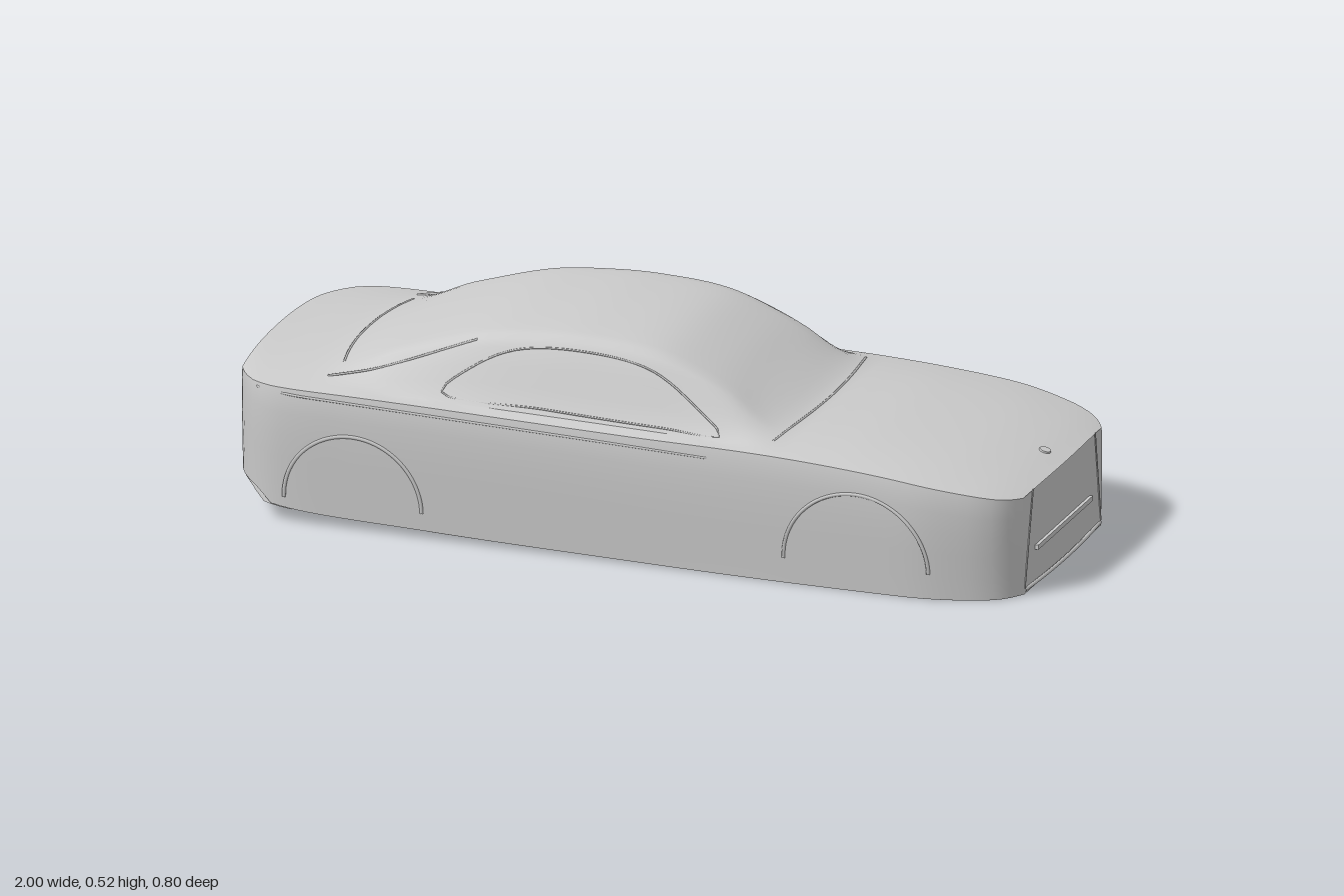
import * as THREE from 'three';
import { toCreasedNormals } from 'three/addons/utils/BufferGeometryUtils.js';

const mat = new THREE.MeshStandardMaterial({ color: 0xcccccc, side: THREE.DoubleSide });

// smooth interpolation through [x, value] pairs
function curve(pts) {
  const slope = (i) => {
    const a = pts[Math.max(i - 1, 0)], b = pts[Math.min(i + 1, pts.length - 1)];
    return (b[1] - a[1]) / (b[0] - a[0]);
  };
  return (x) => {
    let i = 0;
    while (i < pts.length - 2 && x > pts[i + 1][0]) i++;
    const [x0, y0] = pts[i], [x1, y1] = pts[i + 1], d = x1 - x0;
    const t = THREE.MathUtils.clamp((x - x0) / d, 0, 1), t2 = t * t, t3 = t2 * t;
    return (2 * t3 - 3 * t2 + 1) * y0 + (t3 - 2 * t2 + t) * d * slope(i)
      + (3 * t2 - 2 * t3) * y1 + (t3 - t2) * d * slope(i + 1);
  };
}

// lengthwise profiles: centre line, shoulder, underside, half width
const centreY = curve([[-1, 0.362], [-0.9, 0.368], [-0.76, 0.385], [-0.6, 0.44], [-0.4, 0.502], [-0.25, 0.521],
  [-0.12, 0.525], [0.05, 0.51], [0.18, 0.462], [0.3, 0.397], [0.39, 0.354], [0.45, 0.348], [0.6, 0.338],
  [0.8, 0.31], [0.92, 0.283], [1, 0.258]]);
const shoulderY = curve([[-1, 0.347], [-0.6, 0.343], [0, 0.328], [0.4, 0.322], [0.7, 0.302], [0.9, 0.272], [1, 0.25]]);
const baseY = curve([[-1, 0.09], [-0.94, 0.08], [-0.9, 0.047], [-0.5, 0.026], [0, 0.012], [0.4, 0.006], [1, 0.006]]);
const halfW = curve([[-1, 0.28], [-0.985, 0.315], [-0.95, 0.362], [-0.88, 0.39], [-0.7, 0.395], [0, 0.392], [0.7, 0.395],
  [0.8, 0.39], [0.9, 0.366], [0.95, 0.342], [0.98, 0.313], [1, 0.275]]);

// [share of half width, share of the rise from shoulder to centre line]
const cabin = [[0.985, 0], [0.95, 0.02], [0.9, 0.05], [0.87, 0.13], [0.82, 0.34], [0.77, 0.56], [0.715, 0.79],
  [0.68, 0.89], [0.64, 0.935], [0.57, 0.955], [0.43, 0.975], [0.22, 0.993], [0, 1]];
const flank = [[0.965, 0], [0.975, 0.2], [0.988, 0.42], [0.998, 0.62], [1, 0.8], [0.996, 0.93]];

function rise(x, s, f) {
  const h = centreY(x) - shoulderY(x);
  const k = THREE.MathUtils.smoothstep(h, 0.03, 0.1);
  return shoulderY(x) + h * THREE.MathUtils.lerp(1 - Math.pow(s / 0.985, 2.6), f, k);
}
// height of the upper skin at any x, z
function topY(x, z) {
  const s = Math.min(Math.abs(z) / halfW(x), 0.984);
  const i = cabin.findIndex((p) => p[0] <= s);
  const [a, b] = [cabin[i - 1], cabin[i]];
  return rise(x, s, a[1] + (b[1] - a[1]) * (s - a[0]) / (b[0] - a[0]));
}
// half width of the flank at any x, y
function sideZ(x, y) {
  const t = THREE.MathUtils.clamp((y - baseY(x)) / (shoulderY(x) - baseY(x)), 0, 0.92);
  const i = Math.max(1, flank.findIndex((p) => p[1] > t));
  const [a, b] = [flank[i - 1], flank[i]];
  return halfW(x) * (a[0] + (b[0] - a[0]) * (t - a[1]) / (b[1] - a[1]));
}
// bow both ends in plan
const bow = (x, z) => x * (1 - 0.15 * z * z);

function section(x) {
  const w = halfW(x), y0 = baseY(x), y1 = shoulderY(x);
  const half = [...flank.map(([s, t]) => [w * s, y0 + (y1 - y0) * t]),
    ...cabin.map(([s, f]) => [w * s, rise(x, s, f)])];
  return [...half, ...half.slice(0, -1).reverse().map(([z, y]) => [-z, y])];
}

function bodyGeometry() {
  const xs = [-1, -0.993, -0.985, -0.97];
  for (let i = 0; i <= 76; i++) xs.push(-0.95 + i * 0.025);
  xs.push(0.965, 0.98, 0.99, 1);
  const pos = [], idx = [];
  let n = 0;
  for (const x of xs) {
    const ring = section(x);
    n = ring.length;
    for (const [z, y] of ring) pos.push(bow(x, z), y, z);
  }
  for (let j = 0; j < xs.length - 1; j++) {
    for (let i = 0; i < n - 1; i++) {
      const a = j * n + i, b = a + n;
      idx.push(a, b, a + 1, b, b + 1, a + 1);
    }
  }
  // nose and tail faces
  const last = (xs.length - 1) * n;
  for (let i = 0; i < (n - 1) / 2; i++) {
    const p = i, q = n - 1 - i;
    idx.push(last + p, last + q, last + p + 1, last + q, last + q - 1, last + p + 1);
    idx.push(p, p + 1, q, q, p + 1, q - 1);
  }
  const g = new THREE.BufferGeometry();
  g.setAttribute('position', new THREE.Float32BufferAttribute(pos, 3));
  g.setIndex(idx);
  return toCreasedNormals(g, 0.5);
}

const wheels = [{ name: 'front', x: 0.605, r: 0.183 }, { name: 'rear', x: -0.67, r: 0.175 }];
const wellZ = 0.28;

// floor with a notch at each wheel, following the underside
function floorGeometry() {
  const edge = [];
  const add = (x, z = halfW(x) * 0.965) => edge.push([bow(x, z), z]);
  for (let i = 0; i <= 100; i++) {
    const x = -1 + i * 0.02;
    const w = wheels.find((o) => Math.abs(x - o.x) < o.r);
    if (!w) { add(x); continue; }
    if (x - 0.02 <= w.x - w.r) { add(w.x - w.r); add(w.x - w.r, wellZ); }
    if (x + 0.02 >= w.x + w.r) { add(w.x + w.r, wellZ); add(w.x + w.r); }
  }
  const outline = [...edge, ...edge.slice().reverse().map(([x, z]) => [x, -z])];
  const g = new THREE.ShapeGeometry(new THREE.Shape(outline.map(([x, z]) => new THREE.Vector2(x, z))));
  g.rotateX(Math.PI / 2);
  const p = g.attributes.position;
  for (let i = 0; i < p.count; i++) p.setY(i, baseY(p.getX(i)));
  g.computeVertexNormals();
  return g;
}

export function createModel() {
  const model = new THREE.Group();
  const add = (name, geo) => {
    const m = new THREE.Mesh(geo, mat);
    m.name = name;
    model.add(m);
    return m;
  };
  const trim = (name, pts, r = 0.003, closed = false) => add(name, new THREE.TubeGeometry(
    new THREE.CatmullRomCurve3(pts.map((p) => new THREE.Vector3(...p)), closed, 'centripetal'), 64, r, 6, closed));
  const onTop = (x, z) => [bow(x, z), topY(x, z), z];

  add('body', bodyGeometry());
  add('floor', floorGeometry());

  for (const s of [1, -1]) {
    const side = s > 0 ? 'Left' : 'Right';
    for (const w of wheels) {
      // wheel arch lip
      const arc = [];
      for (let i = 0; i <= 24; i++) {
        const a = Math.PI * i / 24;
        const x = w.x + w.r * Math.cos(a), y = 0.07 + w.r * Math.sin(a);
        arc.push([x, y, s * (sideZ(x, y) - 0.001)]);
      }
      trim(w.name + 'Arch' + side, arc, 0.005);
      // inner wall and roof of the wheel well
      const wall = add(w.name + 'Well' + side, new THREE.BoxGeometry(w.r * 2, 0.06, 0.01));
      wall.position.set(bow(w.x, wellZ), baseY(w.x) + 0.03, s * (wellZ - 0.005));
      const roof = add(w.name + 'WellRoof' + side, new THREE.BoxGeometry(w.r * 2, 0.004, 0.1));
      roof.position.set(bow(w.x, wellZ), baseY(w.x) + 0.06, s * (wellZ + 0.045));
    }
    // side window surround
    const win = [[-0.47, 0.338], [-0.2, 0.344], [0.1, 0.345], [0.25, 0.34], [0.18, 0.31], [0.05, 0.284],
      [-0.15, 0.278], [-0.3, 0.284], [-0.4, 0.305]];
    trim('sideWindow' + side, win.map(([x, z]) => onTop(x, s * z)), 0.0025, true);
    // rear pillar seam
    trim('pillarSeam' + side, [[-0.77, 0.31], [-0.65, 0.298], [-0.52, 0.284], [-0.4, 0.268]].map(([x, z]) => onTop(x, s * z)));
    // character line along the flank
    const line = [];
    for (let i = 0; i <= 12; i++) {
      const x = -0.94 + i * 0.098, y = 0.335 - i * 0.003;
      line.push([bow(x, 0.39), y, s * (sideZ(x, y) - 0.001)]);
    }
    trim('flankLine' + side, line);
    // edge between nose panel and corner
    trim('noseEdge' + side, [[bow(1, 0.215), 0.255, s * 0.215], [bow(1, 0.263), 0.02, s * 0.263]], 0.002);
  }

  // window base seams
  const across = (x, bend, half) => Array.from({ length: 13 }, (_, i) => {
    const z = half * (i / 6 - 1);
    return onTop(x + bend * z * z, z);
  });
  trim('windscreenBase', across(0.405, -0.25, 0.32));
  trim('rearWindowBase', across(-0.77, 0.35, 0.24));

  // bumper ledges and nose lip
  const ledge = add('noseLedge', new THREE.BoxGeometry(0.012, 0.012, 0.38));
  ledge.position.set(0.991, 0.1, 0);
  const arc = (x, y, half) => Array.from({ length: 9 }, (_, i) => {
    const z = half * (i / 4 - 1);
    return [bow(x, z), y, z];
  });
  trim('noseLip', arc(0.998, 0.015, 0.26), 0.005);
  trim('tailCrease', arc(-1, 0.25, 0.26), 0.003);
  trim('tailLedge', arc(-0.998, 0.15, 0.22), 0.004);

  // small round badge on the hood
  const badge = add('hoodBadge', new THREE.CylinderGeometry(0.014, 0.015, 0.006, 24));
  badge.position.set(0.945, topY(0.945, 0) + 0.001, 0);
  badge.rotation.z = -0.28;
  return model;
}
